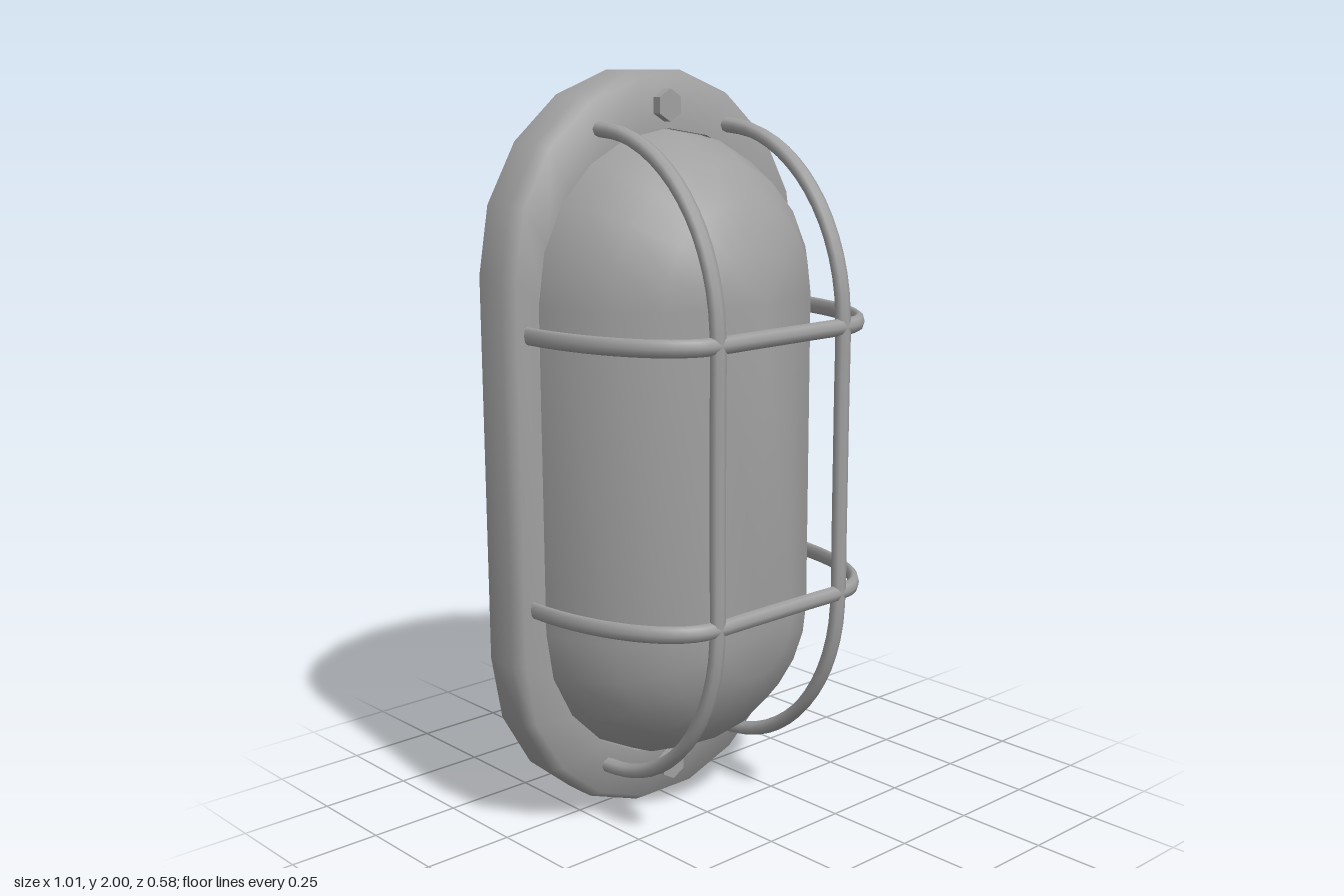
import * as THREE from 'three';
import { toCreasedNormals } from 'three/addons/utils/BufferGeometryUtils.js';

const material = new THREE.MeshStandardMaterial({ color: 0xa0a0a0 });
const MID = 1; // height of the lamp's centre

// Sweeps a profile of [radius, z, half straight length] around a stadium outline.
function stadiumLoft(profile, arcSteps) {
  const outline = [];
  for (const end of [0, 1]) {
    for (let i = 0; i <= arcSteps; i++) {
      const a = Math.PI * (end + i / arcSteps);
      outline.push([Math.cos(a), Math.sin(a), end ? -1 : 1]);
    }
  }
  const n = outline.length;
  const positions = [];
  const index = [];
  for (const [r, z, half] of profile) {
    for (const [c, s, side] of outline) positions.push(c * r, side * half + s * r, z);
  }
  for (let j = 0; j < profile.length - 1; j++) {
    for (let i = 0; i < n; i++) {
      const k = (i + 1) % n;
      const a = j * n + i, b = j * n + k, c = b + n, d = a + n;
      index.push(a, b, c, a, c, d);
    }
  }
  const geometry = new THREE.BufferGeometry();
  geometry.setAttribute('position', new THREE.Float32BufferAttribute(positions, 3));
  geometry.setIndex(index);
  return toCreasedNormals(geometry, 1.1);
}

function addMesh(parent, name, geometry) {
  const mesh = new THREE.Mesh(geometry, material);
  mesh.name = name;
  parent.add(mesh);
  return mesh;
}

// A round wire bent into a flat-topped arch in the xz plane, capped at both feet.
function wireArch(name, halfStraight, arcRadius) {
  const wire = 0.0225;
  const foot = -0.05;
  const half = [new THREE.Vector3(halfStraight + arcRadius, 0, foot)];
  for (let i = 0; i <= 8; i++) {
    const a = (i / 8) * Math.PI / 2;
    half.push(new THREE.Vector3(halfStraight + arcRadius * Math.cos(a), 0, arcRadius * Math.sin(a)));
  }
  half.push(new THREE.Vector3(halfStraight * 0.5, 0, arcRadius));
  const mirrored = half.map(p => new THREE.Vector3(-p.x, p.y, p.z)).reverse();
  const curve = new THREE.CatmullRomCurve3([...half, ...mirrored], false, 'centripetal');

  const arch = new THREE.Group();
  arch.name = name;
  addMesh(arch, 'wire', new THREE.TubeGeometry(curve, 48, wire, 8));
  for (const side of [-1, 1]) {
    const cap = addMesh(arch, 'wireEnd', new THREE.CircleGeometry(wire, 8));
    cap.rotation.y = Math.PI;
    cap.position.set(side * (halfStraight + arcRadius), 0, foot);
  }
  return arch;
}

export function createModel() {
  const lamp = new THREE.Group();
  lamp.name = 'bulkheadLamp';

  // Hollow base: outer wall, bevel, front flange, then the inside back to the rim
  const base = addMesh(lamp, 'base', stadiumLoft([
    [0.505, -0.29, 0.503], [0.505, -0.2, 0.503], [0.485, -0.165, 0.503], [0.405, -0.165, 0.43],
    [0.405, -0.18, 0.43], [0.47, -0.18, 0.503], [0.488, -0.205, 0.503], [0.497, -0.29, 0.503],
    [0.505, -0.29, 0.503],
  ], 9));
  base.position.y = MID;

  // Capsule-shaped cover: recessed flat back panel, lip, then the rounded front
  const straight = 0.428;
  const profile = [
    [0, -0.145, straight], [0.422, -0.145, straight],
    [0.422, -0.235, straight], [0.43, -0.235, straight],
  ];
  for (let i = 0; i <= 5; i++) {
    const a = (i / 5) * Math.PI / 2;
    profile.push([i === 5 ? 0 : 0.43 * Math.cos(a), -0.225 + 0.43 * Math.sin(a), straight]);
  }
  const cover = addMesh(lamp, 'cover', stadiumLoft(profile, 10));
  cover.position.set(0.003, MID + 0.003, 0);

  // Wire guard: two upright and two crosswise arches
  const guard = new THREE.Group();
  guard.name = 'wireGuard';
  guard.position.set(0.005, MID + 0.004, -0.165);
  lamp.add(guard);
  for (const side of [-1, 1]) {
    const upright = wireArch('uprightWire', 0.41, 0.55);
    upright.scale.set(0.888, 1, 0.787);
    upright.rotation.z = Math.PI / 2;
    upright.position.x = side * 0.22;
    guard.add(upright);

    const cross = wireArch('crossWire', 0.535, 0.55);
    cross.scale.set(0.425, 1, 0.787);
    cross.position.y = side * 0.356;
    guard.add(cross);
  }

  // Hexagonal bolts through the flange
  for (const side of [-1, 1]) {
    const bolt = addMesh(lamp, 'bolt',
      toCreasedNormals(new THREE.CylinderGeometry(0.042, 0.042, 0.07, 6), 0.5));
    bolt.rotation.x = Math.PI / 2;
    bolt.position.set(0.002, MID + 0.004 + side * 0.908, -0.175);
  }

  return lamp;
}
